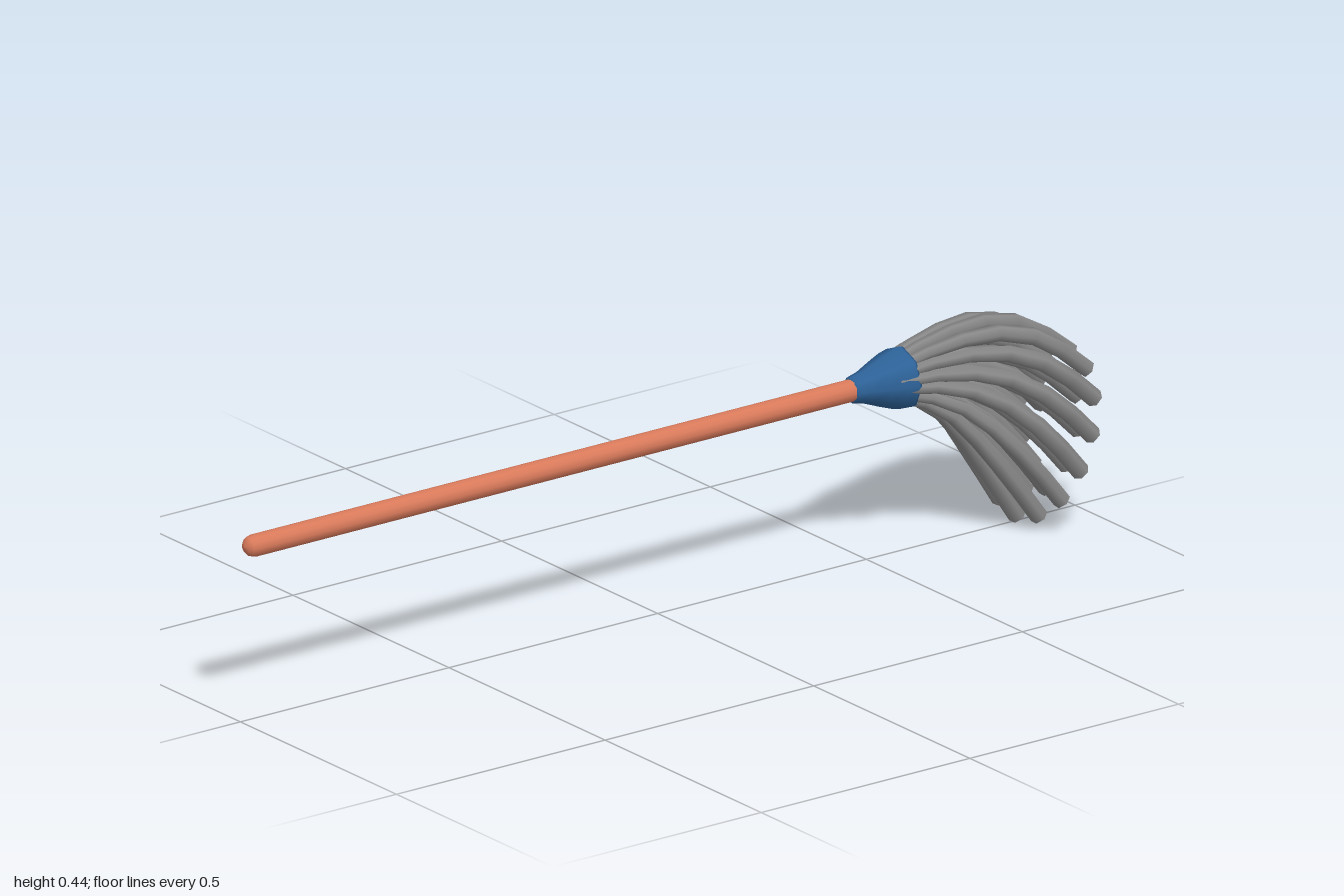
import * as THREE from 'three';
import { mergeGeometries } from 'three/addons/utils/BufferGeometryUtils.js';

const AXIS_X = 0.013, AXIS_Y = 0.363;

// Envelope of the strand bundle, root to tip: [half width, top y, top z, bottom y, bottom z]
const ENVELOPE = [
  [0.042, 0.395, -0.54, 0.335, -0.54],
  [0.075, 0.425, -0.66, 0.290, -0.645],
  [0.108, 0.432, -0.78, 0.215, -0.72],
  [0.135, 0.403, -0.88, 0.120, -0.79],
  [0.142, 0.320, -0.989, 0.012, -0.862],
];

function createModel() {
  const model = new THREE.Group();
  model.name = 'mop';
  const wood = new THREE.MeshStandardMaterial({ name: 'orangeHandle', color: 0xd97a5b });
  const blue = new THREE.MeshStandardMaterial({ name: 'blueSocket', color: 0x2d6298 });
  const yarn = new THREE.MeshStandardMaterial({ name: 'greyYarn', color: 0x878787 });

  let seed = 11;
  const jitter = (size) => {
    seed = (seed * 16807) % 2147483647;
    return (seed / 2147483647 - 0.5) * 2 * size;
  };

  // Turned part along the handle axis; profile is [radius, z] from front to back
  function turned(name, profile, sides, material) {
    const points = profile.map(([r, z]) => new THREE.Vector2(r, -z));
    const geometry = new THREE.LatheGeometry(points, sides);
    geometry.rotateX(-Math.PI / 2);
    const mesh = new THREE.Mesh(geometry, material);
    mesh.name = name;
    mesh.position.set(AXIS_X, AXIS_Y, 0);
    model.add(mesh);
  }

  turned('handle', [
    [0, 1], [0.012, 0.997], [0.019, 0.99], [0.022, 0.978], [0.022, -0.5],
  ], 12, wood);

  turned('socket', [
    [0.022, -0.452], [0.027, -0.456], [0.034, -0.485], [0.048, -0.52], [0.059, -0.55],
    [0.064, -0.572], [0.062, -0.578], [0.054, -0.578], [0.05, -0.565], [0, -0.56],
  ], 8, blue);

  // One strand: a tube that thickens to its tip, closed by a flat cap
  function strandGeometry(u, v) {
    const down = (1 - v) / 2;
    const wobble = jitter(0.008);
    const points = ENVELOPE.map(([w, ty, tz, by, bz], i) => {
      const k = i / (ENVELOPE.length - 1);
      const bend = Math.sin(k * Math.PI) * wobble;
      return new THREE.Vector3(
        AXIS_X * (1 - k) + u * w + bend,
        THREE.MathUtils.lerp(ty, by, down) + bend,
        THREE.MathUtils.lerp(tz, bz, down),
      );
    });
    const curve = new THREE.CatmullRomCurve3(points);
    const segments = 6, sides = 6, tipRadius = 0.018;
    const tube = new THREE.TubeGeometry(curve, segments, tipRadius, sides);
    const position = tube.attributes.position;
    const vertex = new THREE.Vector3();
    for (let i = 0; i <= segments; i++) {
      const centre = curve.getPointAt(i / segments);
      const scale = 0.6 + 0.4 * Math.min(1, (i / segments) * 1.6);
      for (let j = 0; j <= sides; j++) {
        const n = i * (sides + 1) + j;
        vertex.fromBufferAttribute(position, n).sub(centre).multiplyScalar(scale).add(centre);
        position.setXYZ(n, vertex.x, vertex.y, vertex.z);
      }
    }
    // The cap shares the tube's last ring
    const ring = [];
    for (let j = 0; j < sides; j++) {
      ring.push(new THREE.Vector3().fromBufferAttribute(position, segments * (sides + 1) + j));
    }
    const tip = curve.getPointAt(1), tangent = curve.getTangentAt(1);
    const corners = [], normals = [], uvs = [], index = [];
    [tip, ...ring].forEach((p) => {
      corners.push(p.x, p.y, p.z);
      normals.push(tangent.x, tangent.y, tangent.z);
      uvs.push(0, 0);
    });
    const facing = ring[0].clone().sub(tip).cross(ring[1].clone().sub(tip)).dot(tangent) > 0;
    for (let j = 0; j < sides; j++) {
      const a = 1 + j, b = 1 + ((j + 1) % sides);
      index.push(0, facing ? a : b, facing ? b : a);
    }
    const cap = new THREE.BufferGeometry();
    cap.setAttribute('position', new THREE.Float32BufferAttribute(corners, 3));
    cap.setAttribute('normal', new THREE.Float32BufferAttribute(normals, 3));
    cap.setAttribute('uv', new THREE.Float32BufferAttribute(uvs, 2));
    cap.setIndex(index);
    return mergeGeometries([tube, cap]);
  }

  // Concentric rings of strands fill the socket: [count, ring radius]
  const strands = new THREE.Group();
  strands.name = 'strands';
  [[1, 0], [5, 0.38], [10, 0.7], [14, 1]].forEach(([count, radius]) => {
    for (let i = 0; i < count; i++) {
      const angle = -Math.PI / 2 + (i / count) * Math.PI * 2;
      const mesh = new THREE.Mesh(
        strandGeometry(Math.cos(angle) * radius, Math.sin(angle) * radius), yarn);
      mesh.name = 'strand';
      strands.add(mesh);
    }
  });
  model.add(strands);
  return model;
}

export { createModel };
